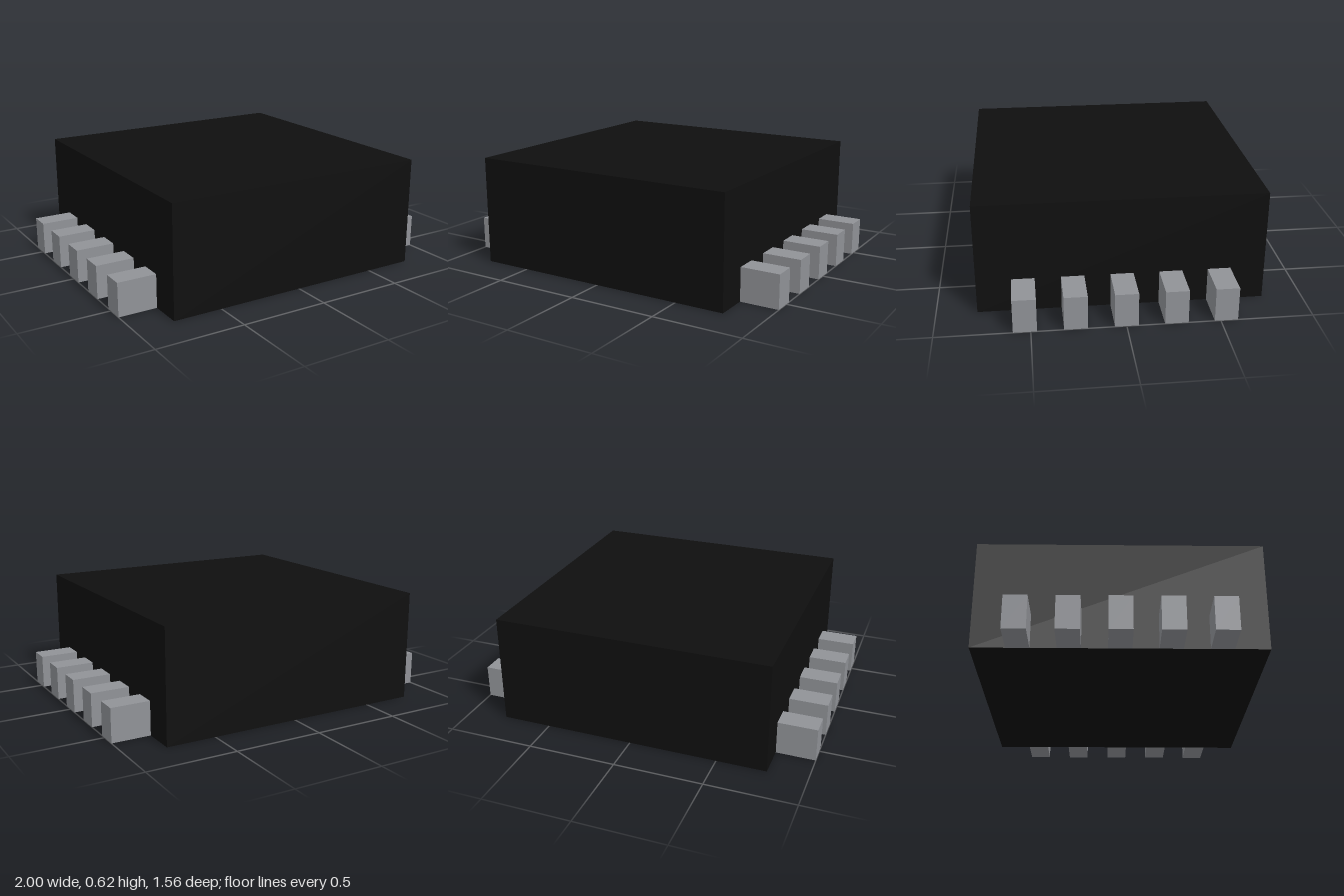
import * as THREE from 'three';

export function createModel() {
  const group = new THREE.Group();
  group.name = 'chipPackage';
  const black = new THREE.MeshStandardMaterial({ name: 'black plastic', color: 0x0f0f0f });
  const grey = new THREE.MeshStandardMaterial({ name: 'grey metal', color: 0x909297 });

  const addBox = (name, size, position, material) => {
    const mesh = new THREE.Mesh(new THREE.BoxGeometry(...size), material);
    mesh.name = name;
    mesh.position.set(...position);
    group.add(mesh);
  };

  // Package body
  const half = 0.78, height = 0.625;
  addBox('body', [half * 2, height, half * 2], [0, height / 2, 0], black);

  // Five contact pins along each side, flush with the underside
  const pinLength = 1 - half, pinHeight = 0.19, pinWidth = 0.125, pitch = 0.265;
  for (const side of [-1, 1]) {
    for (let i = -2; i <= 2; i++) {
      addBox(side > 0 ? 'leftPin' : 'rightPin', [pinLength, pinHeight, pinWidth],
        [side * (half + pinLength / 2), pinHeight / 2, i * pitch], grey);
    }
  }
  return group;
}
